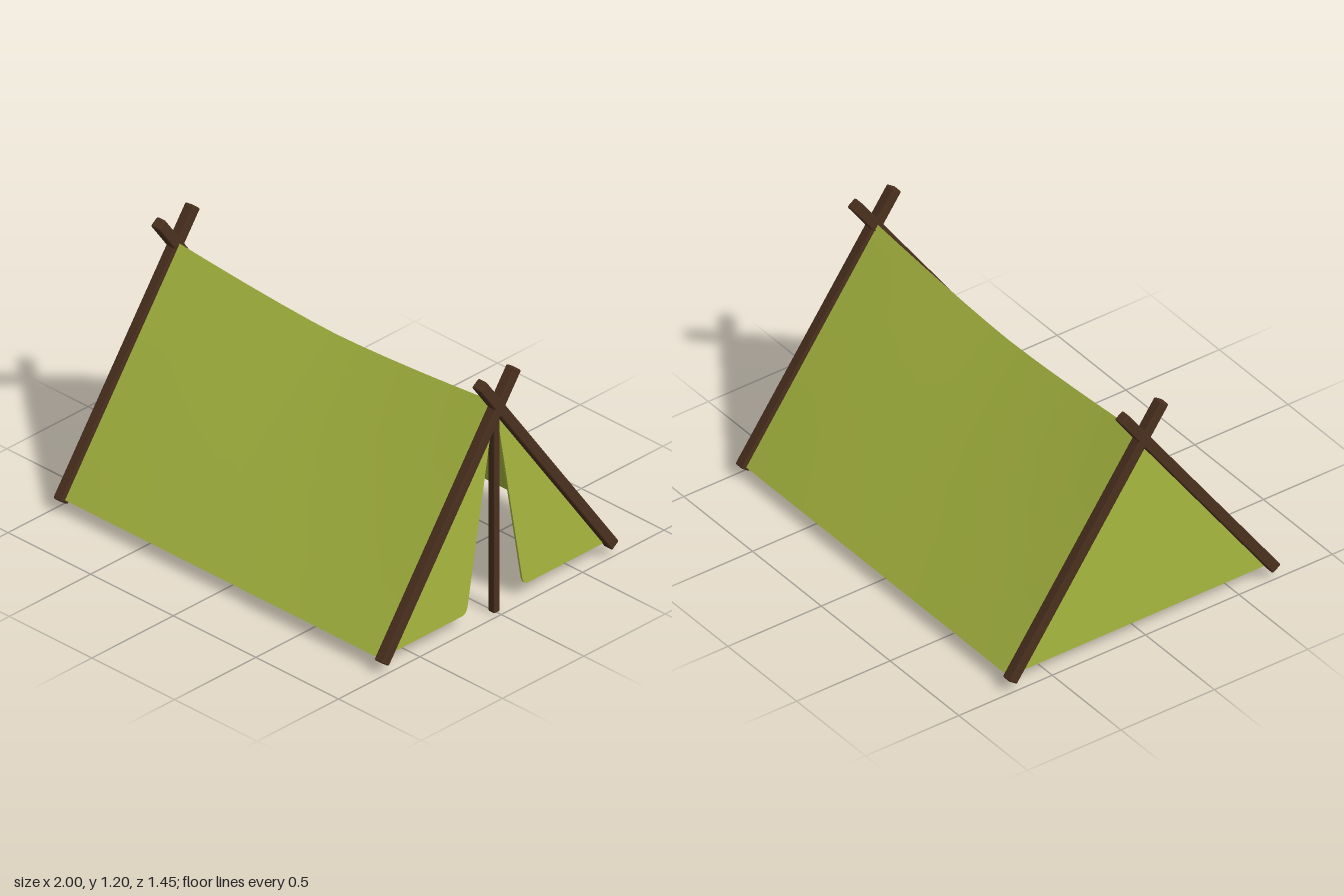
import * as THREE from 'three';
import { RoundedBoxGeometry } from 'three/addons/geometries/RoundedBoxGeometry.js';

const HEM = 0.06, HALF_DEPTH = 0.705, END_X = 0.957, CLOTH = 0.01;
const ridgeY = (x) => 0.99 + 0.06 * Math.pow(Math.abs(x) / END_X, 1.5);

export function createModel() {
  const tent = new THREE.Group();
  tent.name = 'tent';
  const cloth = new THREE.MeshStandardMaterial({ color: 0xa8b840, side: THREE.DoubleSide });
  const wood = new THREE.MeshStandardMaterial({ color: 0x4a301e });

  const add = (name, geometry, material) => {
    const mesh = new THREE.Mesh(geometry, material);
    mesh.name = name;
    tent.add(mesh);
    return mesh;
  };

  // Sloping roof sheets with a sagging ridge
  for (const side of [1, -1]) {
    const geo = new THREE.BoxGeometry(2 * END_X, 1, 1, 12, 4, 1);
    const p = geo.attributes.position;
    for (let i = 0; i < p.count; i++) {
      const x = p.getX(i), t = p.getY(i) + 0.5;
      const inset = p.getZ(i) * side > 0 ? 0 : CLOTH;
      const z = Math.max(0, HALF_DEPTH * (1 - t) - inset);
      p.setXYZ(i, x, HEM + t * (ridgeY(x) - HEM), side * z);
    }
    geo.computeVertexNormals();
    add(side > 0 ? 'frontRoofSheet' : 'backRoofSheet', geo, cloth);
  }

  // End panels are drawn in the z-y plane and turned to face along x
  const panel = (name, shape, x) => {
    const geo = new THREE.ExtrudeGeometry(shape, { depth: CLOTH, bevelEnabled: false, curveSegments: 6 });
    geo.translate(0, 0, -CLOTH / 2);
    geo.rotateY(-Math.PI / 2);
    return add(name, geo, cloth).position.setX(x);
  };

  // Closed triangular end
  const closed = new THREE.Shape();
  closed.moveTo(-HALF_DEPTH, HEM);
  closed.lineTo(HALF_DEPTH, HEM);
  closed.lineTo(0, 1.05);
  closed.closePath();
  panel('closedEnd', closed, -END_X);

  // Pair of door flaps with rounded lower corners
  for (const s of [1, -1]) {
    const flap = new THREE.Shape();
    flap.moveTo(s * HALF_DEPTH, HEM);
    flap.lineTo(s * 0.205, HEM);
    flap.quadraticCurveTo(s * 0.175, HEM, s * 0.168, 0.095);
    flap.lineTo(s * 0.012, 0.985);
    flap.lineTo(0, 1.05);
    flap.closePath();
    panel(s > 0 ? 'frontDoorFlap' : 'backDoorFlap', flap, END_X);
  }

  // Crossed poles at both ends
  const foot = 0.707, tip = -0.107, low = 0.045, high = 1.186;
  const length = Math.hypot(foot - tip, high - low);
  const lean = Math.atan2(foot - tip, high - low);
  for (const x of [0.972, -0.972]) {
    for (const s of [1, -1]) {
      const geo = new RoundedBoxGeometry(0.052, length, 0.052, 1, 0.007);
      const pole = add('crossedPole', geo, wood);
      pole.position.set(x, (low + high) / 2, s * (foot + tip) / 2);
      pole.rotation.x = -s * lean;
    }
  }

  // Upright pole in the doorway
  const upright = add('doorPole', new RoundedBoxGeometry(0.036, 1.03, 0.036, 1, 0.005), wood);
  upright.position.set(END_X, 0.515, 0);

  return tent;
}
